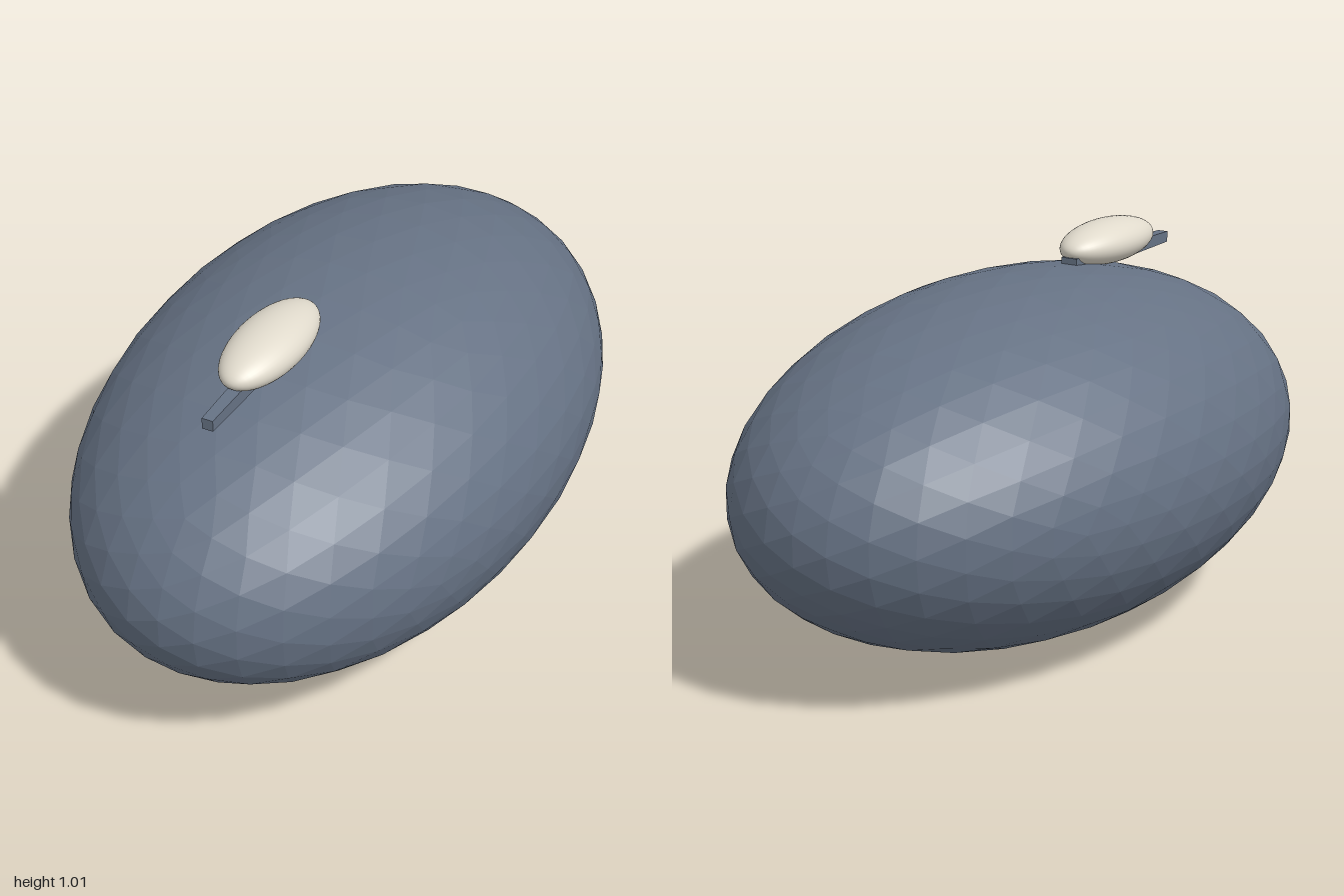
import * as THREE from 'three';

export function createModel() {
  const model = new THREE.Group();
  const slate = new THREE.MeshStandardMaterial({ color: 0x667284, flatShading: true });
  const cream = new THREE.MeshStandardMaterial({ color: 0xe0dacc });

  const add = (name, geometry, material, x, y, z) => {
    const mesh = new THREE.Mesh(geometry, material);
    mesh.name = name;
    mesh.position.set(x, y, z);
    model.add(mesh);
    return mesh;
  };

  // Large faceted ellipsoid body
  const body = new THREE.IcosahedronGeometry(1, 6);
  body.scale(0.613, 0.469, 1);
  add('body', body, slate, 0, 0.469, 0);

  // Small smooth pod resting on the front of the body
  const pod = new THREE.SphereGeometry(1, 40, 28);
  pod.rotateX(Math.PI / 2);
  pod.scale(0.091, 0.06, 0.2);
  add('pod', pod, cream, 0, 0.955, 0.42);

  // Square tapered rod running through the pod, narrowing to the front
  const rod = new THREE.CylinderGeometry(0.015 * Math.SQRT2, 0.024 * Math.SQRT2, 0.51, 4);
  rod.rotateY(Math.PI / 4);
  rod.rotateX(Math.PI / 2);
  const beam = add('rod', rod, slate, 0, 0.914, 0.475);
  beam.rotation.x = 0.012;

  return model;
}
